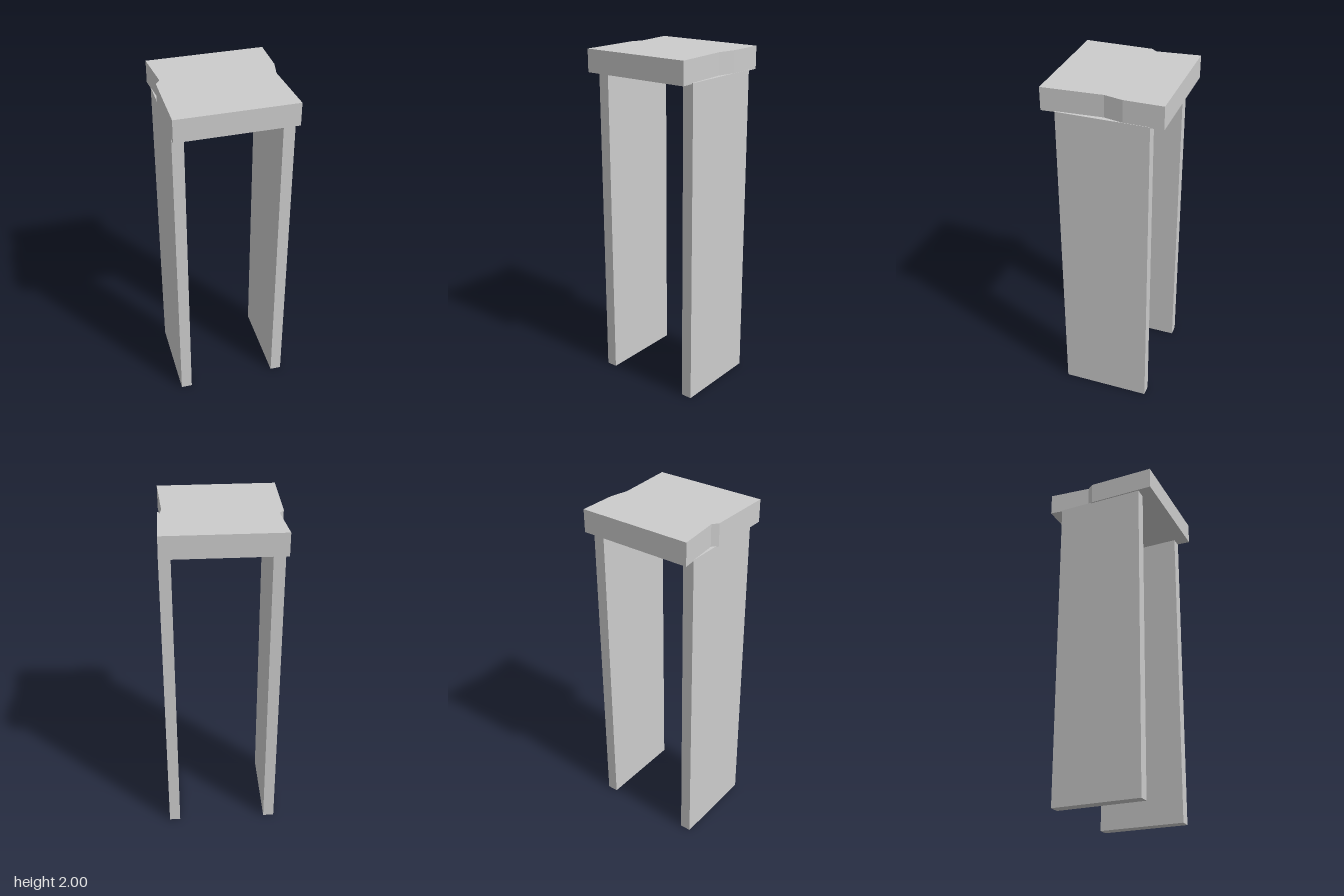
import * as THREE from 'three';

export function createModel() {
  const model = new THREE.Group();
  const material = new THREE.MeshStandardMaterial({ color: 0xcccccc });

  const add = (name, geometry, x, y, z) => {
    const mesh = new THREE.Mesh(geometry, material);
    mesh.name = name;
    mesh.position.set(x, y, z);
    model.add(mesh);
  };

  // Seat slab: square plan (x, z) with a shallow chipped notch in each side
  const outline = [
    [-0.335, -0.335], [0.332, -0.335], [0.332, -0.115], [0.309, -0.009],
    [0.332, 0.335], [-0.335, 0.335], [-0.335, -0.052], [-0.309, -0.088],
  ].map(([x, z]) => new THREE.Vector2(x, z));
  const slab = new THREE.ExtrudeGeometry(new THREE.Shape(outline), { depth: 0.13, bevelEnabled: false });
  slab.rotateX(Math.PI / 2); // plan y becomes z, depth runs downwards
  add('seat', slab, 0, 2, 0);

  // Two upright panels, let slightly into the slab
  const legHeight = 1.875;
  for (const [name, x] of [['rightLeg', -0.295], ['leftLeg', 0.302]]) {
    add(name, new THREE.BoxGeometry(0.065, legHeight, 0.517), x, legHeight / 2, -0.003);
  }

  return model;
}
